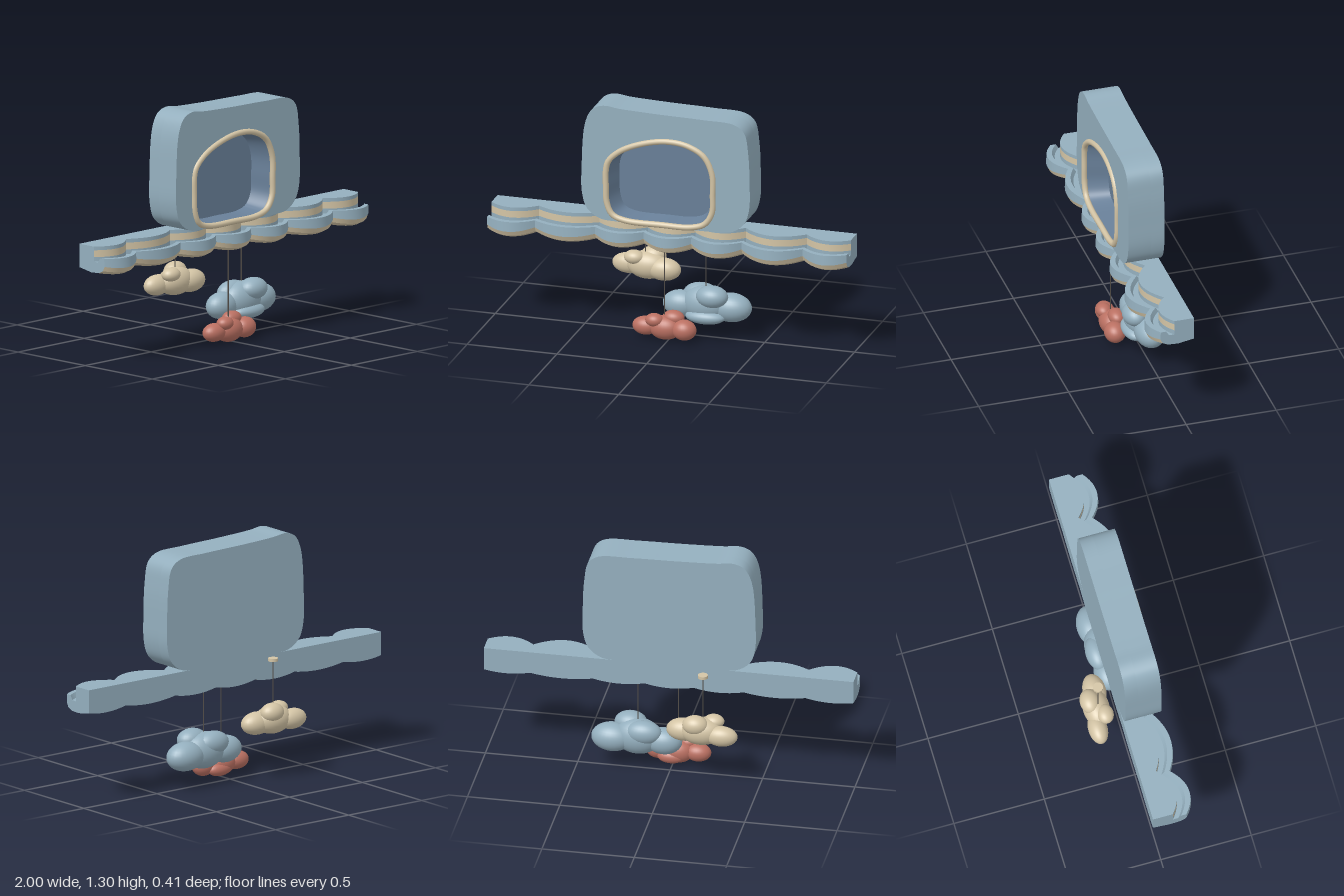
import * as THREE from 'three';
import { toCreasedNormals } from 'three/addons/utils/BufferGeometryUtils.js';

const mat = (name, color, side = THREE.FrontSide) => {
  const m = new THREE.MeshStandardMaterial({ color, side });
  m.name = name;
  return m;
};

// closed smooth loop of Vector2 through a few [x, y] points
const loop = (pts, n) => new THREE.CatmullRomCurve3(
  pts.map(([x, y]) => new THREE.Vector3(x, y, 0)), true, 'centripetal')
  .getPoints(n).slice(0, n).map(p => new THREE.Vector2(p.x, p.y));

// rows of points joined into a surface
function skin(rows) {
  const pos = [], idx = [], w = rows[0].length;
  rows.forEach(r => r.forEach(p => pos.push(...p)));
  for (let i = 0; i < rows.length - 1; i++) for (let j = 0; j < w - 1; j++) {
    const a = i * w + j, b = a + 1, d = a + w, c = d + 1;
    idx.push(a, b, c, a, c, d);
  }
  const g = new THREE.BufferGeometry();
  g.setAttribute('position', new THREE.Float32BufferAttribute(pos, 3));
  g.setIndex(idx);
  g.computeVertexNormals();
  return toCreasedNormals(g, 0.5);
}

export function createModel() {
  const root = new THREE.Group();
  const blue = mat('dusty blue', 0x94afbe, THREE.DoubleSide);
  const deep = mat('deep blue', 0x687f98, THREE.DoubleSide);
  const cream = mat('cream', 0xd3c4a5, THREE.DoubleSide);
  const red = mat('terracotta', 0xba7062);
  const dark = mat('wire grey', 0x55504a);
  const add = (name, geo, material, parent = root) => {
    const m = new THREE.Mesh(geo, material);
    m.name = name;
    parent.add(m);
    return m;
  };

  // soft-cornered cabinet with an arched niche
  const outer = loop([[-0.47, 0.95], [-0.468, 0.8], [-0.44, 0.715], [-0.37, 0.665], [-0.28, 0.656], [0, 0.656],
    [0.28, 0.656], [0.37, 0.668], [0.435, 0.72], [0.462, 0.8], [0.465, 0.95], [0.457, 1.12], [0.435, 1.23],
    [0.38, 1.272], [0.2, 1.282], [-0.05, 1.287], [-0.26, 1.295], [-0.35, 1.303], [-0.41, 1.278], [-0.45, 1.2]], 120);
  const rim = loop([[-0.335, 0.85], [-0.33, 0.76], [-0.3, 0.695], [-0.23, 0.668], [-0.03, 0.664], [0.14, 0.668],
    [0.215, 0.695], [0.255, 0.76], [0.26, 0.86], [0.256, 0.98], [0.21, 1.075], [0.12, 1.125], [0.01, 1.138],
    [-0.12, 1.115], [-0.25, 1.06], [-0.32, 0.995], [-0.335, 0.94]], 100);
  const slab = (hole, z0, z1) => {
    const s = new THREE.Shape(outer);
    if (hole) s.holes.push(new THREE.Path(hole));
    const g = new THREE.ExtrudeGeometry(s, { depth: z1 - z0, bevelEnabled: false });
    g.translate(0, 0, z0);
    return toCreasedNormals(g, 0.6);
  };
  add('cabinetBack', slab(null, -0.043, 0.03), blue);
  add('cabinetFront', slab(rim, 0.03, 0.157), blue);

  // tapered niche lining and its back wall
  const shrink = rim.map(p => new THREE.Vector2(-0.038 + (p.x + 0.038) * 0.87, 0.9 + (p.y - 0.9) * 0.93));
  const ringRow = (pts, z) => [...pts, pts[0]].map(p => [p.x, p.y, z]);
  add('nicheWall', skin([ringRow(rim, 0.156), ringRow(shrink, 0.035)]), deep);
  const back = new THREE.ShapeGeometry(new THREE.Shape(shrink));
  back.translate(0, 0, 0.035);
  add('nicheBack', back, deep);
  const rimCurve = new THREE.CatmullRomCurve3(rim.map(p => new THREE.Vector3(p.x, p.y, 0.157)), true);
  add('nicheRim', new THREE.TubeGeometry(rimCurve, 140, 0.016, 10, true), cream);

  // scalloped shelf: one cross-section swept along x, pushed out at each scallop
  const edges = [-1.02, -0.74, -0.405, -0.135, 0.13, 0.41, 0.75, 1.02];
  const bulge = [0.07, 0.055, 0.06, 0.065, 0.07, 0.08, 0.065];
  const stations = [];
  bulge.forEach((amp, k) => {
    const a = Math.max(-1, edges[k]), b = Math.min(1, edges[k + 1]), n = 18;
    for (let i = k ? 1 : 0; i <= n; i++) {
      const x = a + (b - a) * i / n;
      const u = (2 * x - edges[k] - edges[k + 1]) / (edges[k + 1] - edges[k]);
      stations.push({ x, f: 0.048 + amp * (1 - u * u), dip: 0.016 * (1 - u * u) });
    }
  });
  // [z, y] around the section; front points follow f, low points follow the dip
  const section = ({ f, dip }) => [[-0.043, 0.657], [f, 0.657], [f, 0.637], [f, 0.6], [f, 0.575], [f + 0.03, 0.575],
    [f + 0.045, 0.6], [f + 0.075, 0.6], [f + 0.078, 0.562 - dip], [f + 0.066, 0.537 - dip],
    [f + 0.035, 0.522 - dip], [f - 0.02, 0.519 - dip], [-0.043, 0.534 - dip]];
  const shelf = new THREE.Group();
  shelf.name = 'scallopedShelf';
  root.add(shelf);
  const strip = (name, from, to, material) => add(name, skin(stations.map(s =>
    section(s).concat([[-0.043, 0.657]]).slice(from, to + 1).map(([z, y]) => [s.x, y, z]))), material, shelf);
  strip('shelfTop', 0, 2, blue);
  strip('upperBand', 2, 3, cream);
  strip('gutterAndLip', 3, 8, blue);
  strip('underside', 8, 12, cream);
  strip('shelfBack', 12, 13, blue);
  for (const s of [stations[0], stations[stations.length - 1]]) {
    const g = new THREE.ShapeGeometry(new THREE.Shape(section(s).map(([z, y]) => new THREE.Vector2(z, y))));
    g.rotateY(-Math.PI / 2);
    g.translate(s.x, 0, 0);
    if (s.x > 0) { // face the cap outwards
      const ix = g.index.array;
      for (let i = 0; i < ix.length; i += 3) [ix[i], ix[i + 1]] = [ix[i + 1], ix[i]];
      g.computeVertexNormals();
    }
    add('shelfEnd', g, blue, shelf);
  }

  // hanging clouds: lobes are [x, y, z, rx, ry, rz]
  const ball = new THREE.SphereGeometry(1, 28, 18);
  const cloud = (name, material, x, z, y, lobes) => {
    const g = new THREE.Group();
    g.name = name;
    root.add(g);
    for (const [px, py, pz, rx, ry, rz] of lobes) {
      const m = add('lobe', ball, material, g);
      m.position.set(px, py, pz);
      m.scale.set(rx, ry, rz);
    }
    add('wire', new THREE.CylinderGeometry(0.003, 0.003, 0.65 - y, 8), dark, g).position.set(x, (0.65 + y) / 2, z);
    add('ceilingDisc', new THREE.CylinderGeometry(0.027, 0.027, 0.016, 20), cream, g).position.set(x, 0.649, z);
  };
  cloud('creamCloud', cream, -0.2, -0.117, 0.35, [
    [-0.19, 0.325, -0.125, 0.115, 0.077, 0.072],
    [-0.305, 0.315, -0.148, 0.088, 0.056, 0.052],
    [-0.095, 0.315, -0.107, 0.095, 0.062, 0.062],
    [-0.165, 0.37, -0.152, 0.07, 0.053, 0.054],
    [-0.255, 0.372, -0.093, 0.056, 0.038, 0.045]]);
  cloud('blueCloud', blue, 0.175, 0.007, 0.2, [
    [0.175, 0.19, 0.005, 0.13, 0.1, 0.085],
    [0.035, 0.175, 0.0, 0.1, 0.073, 0.07],
    [0.31, 0.178, -0.007, 0.115, 0.079, 0.08],
    [0.14, 0.228, -0.025, 0.1, 0.065, 0.062],
    [0.222, 0.247, 0.048, 0.088, 0.06, 0.067],
    [0.185, 0.132, 0.05, 0.11, 0.04, 0.057]]);
  cloud('redCloud', red, -0.025, 0.107, 0.08, [
    [-0.02, 0.068, 0.105, 0.09, 0.066, 0.064],
    [-0.13, 0.068, 0.105, 0.072, 0.05, 0.052],
    [0.088, 0.068, 0.117, 0.067, 0.056, 0.057],
    [-0.073, 0.113, 0.13, 0.05, 0.036, 0.042],
    [0.02, 0.122, 0.088, 0.06, 0.04, 0.045],
    [0.01, 0.045, 0.075, 0.075, 0.038, 0.04]]);
  return root;
}
